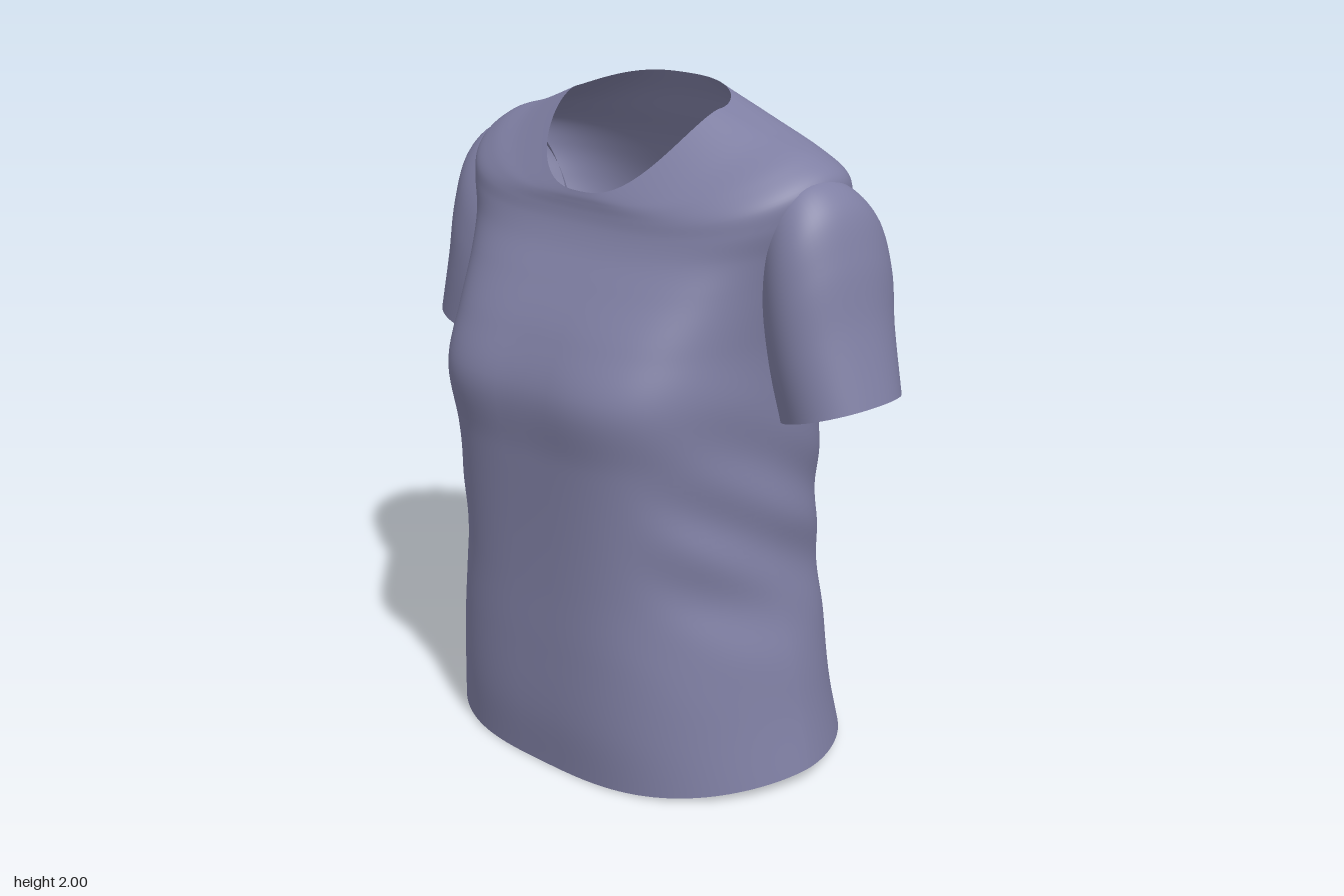
import * as THREE from 'three';

const fabric = new THREE.MeshStandardMaterial({ color: 0x7f7fa3, side: THREE.DoubleSide });
fabric.name = 'greyVioletFabric';

// Smooth open tube through a list of rings; ringPoint(ring, angle) gives a point
function loft(rings, ringPoint, around, along, adjust = (p) => p) {
  const pos = [], index = [];
  for (let i = 0; i < around; i++) {
    const a = (i / around) * Math.PI * 2;
    const curve = new THREE.CatmullRomCurve3(rings.map((r) => ringPoint(r, a)));
    for (let j = 0; j <= along; j++) pos.push(...adjust(curve.getPoint(j / along)).toArray());
  }
  const row = along + 1;
  for (let i = 0; i < around; i++) {
    const n = (i + 1) % around;
    for (let j = 0; j < along; j++) {
      const a = i * row + j, b = n * row + j;
      index.push(a, b, b + 1, a, b + 1, a + 1);
    }
  }
  const g = new THREE.BufferGeometry();
  g.setAttribute('position', new THREE.Float32BufferAttribute(pos, 3));
  g.setIndex(index);
  g.computeVertexNormals();
  return g;
}

const spow = (v, e) => Math.sign(v) * Math.pow(Math.abs(v), e);

// Torso rings: side y, front y, back y, half width, front z, back z, side z,
// and the two exponents that flatten front and back and sharpen the flanks
const torsoRings = [
  [0.045, 0.005, 0.03, 0.65, 0.43, -0.5, -0.03, 3.0, 1.65],
  [0.2, 0.18, 0.2, 0.618, 0.45, -0.463, -0.03, 3.0, 1.7],
  [0.4, 0.4, 0.4, 0.583, 0.456, -0.452, -0.02, 3.1, 1.75],
  [0.6, 0.6, 0.6, 0.535, 0.458, -0.45, -0.01, 3.2, 1.85],
  [0.8, 0.8, 0.8, 0.527, 0.465, -0.446, 0, 3.3, 1.9],
  [1.0, 1.0, 1.0, 0.525, 0.478, -0.441, 0, 3.5, 1.95],
  [1.18, 1.19, 1.18, 0.532, 0.498, -0.437, 0, 3.8, 2],
  [1.34, 1.34, 1.34, 0.54, 0.437, -0.427, -0.02, 3.7, 2],
  [1.5, 1.48, 1.5, 0.575, 0.35, -0.408, -0.06, 3.6, 2],
  [1.61, 1.57, 1.6, 0.61, 0.292, -0.385, -0.08, 3.6, 2],
  [1.715, 1.63, 1.69, 0.642, 0.265, -0.352, -0.085, 3.6, 2],
  [1.795, 1.665, 1.77, 0.64, 0.257, -0.317, -0.08, 3.5, 2],
  [1.85, 1.69, 1.85, 0.565, 0.255, -0.27, -0.065, 3.2, 2],
  [1.892, 1.705, 1.93, 0.43, 0.254, -0.23, -0.05, 2.9, 2],
  [1.95, 1.72, 2.0, 0.278, 0.25, -0.183, -0.02, 2.6, 1.9],
];

function torsoPoint([yS, yF, yB, w, zF, zB, zS, p, q], a) {
  const s = Math.sin(a), c = Math.cos(a), reach = Math.abs(c);
  return new THREE.Vector3(
    w * spow(s, 2 / p),
    yS + ((c > 0 ? yF : yB) - yS) * Math.pow(reach, 1.6),
    zS + ((c > 0 ? zF : zB) - zS) * Math.pow(reach, 2 / q),
  );
}

// Soft diagonal drape folds on the flanks and a shallow hollow between the bust
function drape(p) {
  const flank = THREE.MathUtils.smoothstep(Math.abs(p.x), 0.3, 0.5);
  const band = Math.exp(-Math.pow((p.y - 0.8) / 0.28, 2));
  p.x += Math.sign(p.x) * 0.01 * flank * band * Math.sin((p.y - 0.6 * p.z) * 24);
  if (p.z > 0.2) {
    p.z -= 0.012 * Math.exp(-Math.pow((p.y - 1.2) / 0.15, 2) - Math.pow(p.x / 0.12, 2));
  }
  return p;
}

// Sleeve rings: top x, top y, bottom x, bottom y, front z, back z
const sleeveRings = [
  [0.54, 1.8, 0.48, 1.46, 0.05, -0.2],
  [0.63, 1.795, 0.485, 1.42, 0.09, -0.25],
  [0.7, 1.735, 0.495, 1.36, 0.12, -0.285],
  [0.75, 1.6, 0.505, 1.29, 0.13, -0.295],
  [0.787, 1.42, 0.52, 1.21, 0.125, -0.275],
  [0.845, 1.215, 0.535, 1.115, 0.11, -0.25],
];

// Each ring leans outward toward the back
const sleevePoint = (side) => ([tx, ty, bx, by, zF, zB], angle) => {
  const a = side * angle, c = spow(Math.cos(a), 0.95), s = spow(Math.sin(a), 0.95);
  return new THREE.Vector3(
    side * ((tx + bx) / 2 + ((tx - bx) / 2) * c - 0.03 * s),
    (ty + by) / 2 + ((ty - by) / 2) * c - 0.01 * s,
    (zF + zB) / 2 + ((zF - zB) / 2) * s + 0.05 * c,
  );
};

export function createModel() {
  const shirt = new THREE.Group();
  shirt.name = 'shirt';
  const add = (name, geometry) => {
    const mesh = new THREE.Mesh(geometry, fabric);
    mesh.name = name;
    shirt.add(mesh);
  };
  add('torso', loft(torsoRings, torsoPoint, 144, 112, drape));
  add('leftSleeve', loft(sleeveRings, sleevePoint(1), 64, 40));
  add('rightSleeve', loft(sleeveRings, sleevePoint(-1), 64, 40));
  return shirt;
}
